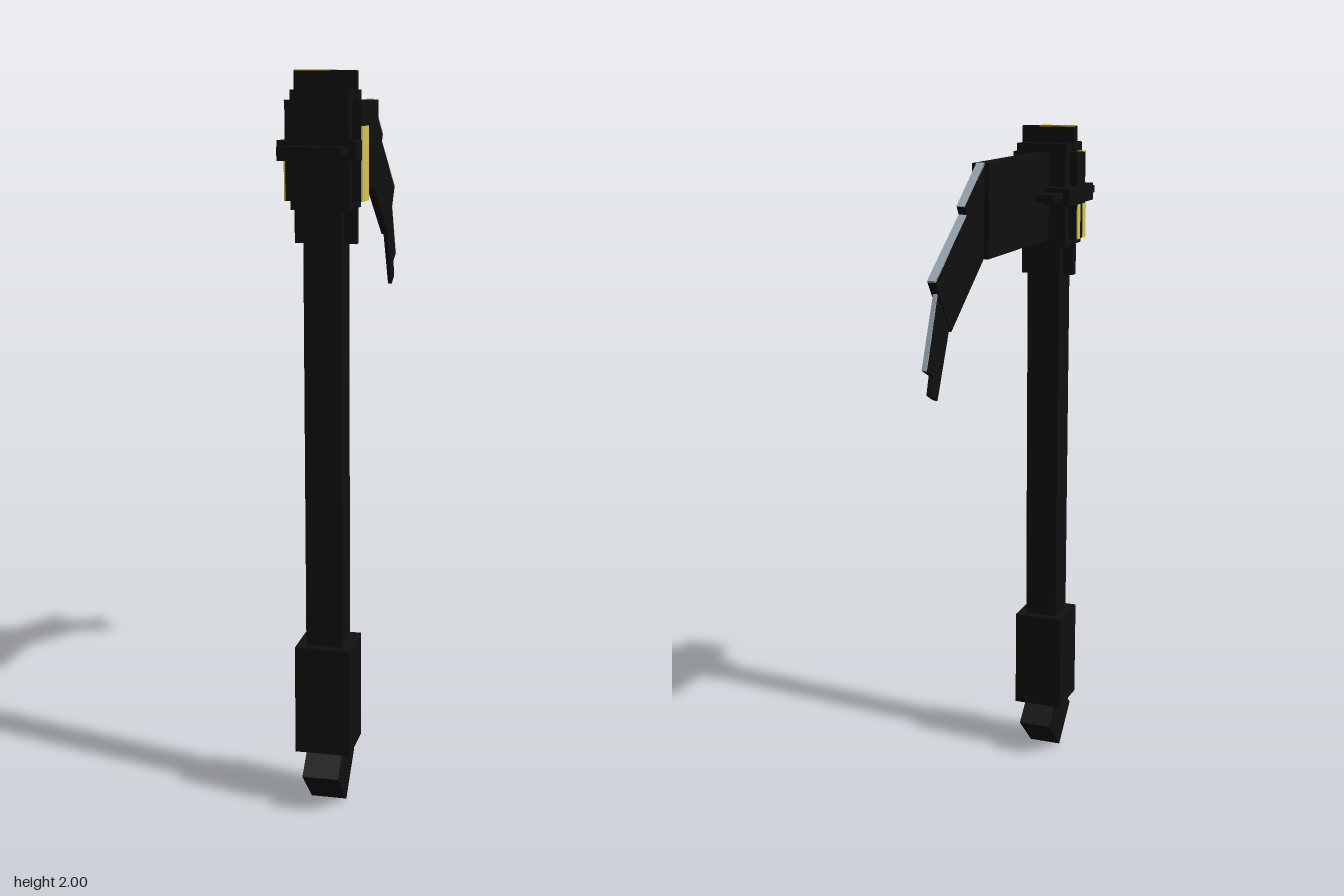
import * as THREE from 'three';

const mat = (name, color) => {
  const m = new THREE.MeshStandardMaterial({ color });
  m.name = name;
  return m;
};

export function createModel() {
  const black = mat('black', 0x101010);
  const steel = mat('steel', 0x9aa8b2);
  const gold = mat('gold', 0xcc9c0c);
  const paleGold = mat('pale gold', 0xd8c552);

  const model = new THREE.Group();
  model.name = 'sickle';
  const Z = 0.38; // axis of the handle

  const add = (name, geo, material) => {
    const mesh = new THREE.Mesh(geo, material);
    mesh.name = name;
    model.add(mesh);
    return mesh;
  };

  // Box given by its x, y and z ranges
  const box = (name, [x0, x1], [y0, y1], [z0, z1], material = black) => {
    const mesh = add(name, new THREE.BoxGeometry(x1 - x0, y1 - y0, z1 - z0), material);
    mesh.position.set((x0 + x1) / 2, (y0 + y1) / 2, (z0 + z1) / 2);
    return mesh;
  };

  // Side profile of [z, y] points, extruded symmetrically across x
  const slab = (name, points, half) => {
    const shape = new THREE.Shape(points.map(([z, y]) => new THREE.Vector2(z, y)));
    const geo = new THREE.ExtrudeGeometry(shape, { depth: half * 2, bevelEnabled: false });
    geo.translate(0, 0, -half).rotateY(-Math.PI / 2);
    return add(name, geo, black);
  };

  // Thin steel strip along a profile edge
  const edge = (name, [z0, y0], [z1, y1], half) => {
    const geo = new THREE.BoxGeometry(half * 2, 0.006, Math.hypot(z1 - z0, y1 - y0));
    const mesh = add(name, geo, steel);
    mesh.position.set(0, (y0 + y1) / 2, (z0 + z1) / 2);
    mesh.rotation.x = -Math.atan2(y1 - y0, z1 - z0);
  };

  // Handle and pommel
  box('handle', [-0.05, 0.05], [0.12, 1.7], [Z - 0.05, Z + 0.05]);
  box('grip', [-0.076, 0.076], [0.165, 0.468], [Z - 0.076, Z + 0.076]);
  box('pommel', [-0.05, 0.05], [0.031, 0.181], [Z - 0.075, Z + 0.075]).rotation.x = Math.PI / 4;

  // Head with crossing plates
  box('headBlock', [-0.076, 0.076], [1.65, 1.95], [Z - 0.076, Z + 0.076]);
  box('uprightPlate', [-0.082, 0.082], [1.56, 1.998], [Z - 0.013, Z + 0.013]);
  box('crossPlate', [-0.082, 0.082], [1.79, 1.812], [Z - 0.193, Z + 0.19]);
  box('crossBar', [-0.102, 0.102], [1.775, 1.826], [Z - 0.114, Z + 0.113]);
  box('yoke', [-0.1, 0.1], [1.67, 1.924], [Z - 0.039, Z + 0.039]);

  // Gold inlays
  box('topInlay', [-0.082, 0.027], [1.996, 2], [Z - 0.014, Z + 0.01], gold);
  box('yokeTopInlay', [-0.102, -0.08], [1.922, 1.926], [Z + 0.013, Z + 0.037], gold);
  for (const z of [Z - 0.026, Z + 0.026]) {
    box('rightInlay', [-0.103, -0.098], [1.67, 1.772], [z - 0.013, z + 0.013], paleGold);
  }
  box('leftInlay', [0.099, 0.104], [1.67, 1.86], [Z - 0.039, Z + 0.039], paleGold);

  // Blade in three sections, thinner toward the tip
  const mid = [[-0.178, 1.924], [-0.32, 1.822], [-0.306, 1.799], [-0.516, 1.655], [-0.416, 1.513], [-0.187, 1.672]];
  const tip = [[-0.488, 1.625], [-0.568, 1.438], [-0.527, 1.418], [-0.543, 1.37], [-0.5, 1.348], [-0.416, 1.525]];
  slab('bladeBase', [[0.32, 1.924], [-0.178, 1.924], [-0.187, 1.672], [0.32, 1.672]], 0.025);
  slab('bladeMiddle', mid, 0.011);
  slab('bladeTip', tip, 0.006);
  edge('middleEdgeUpper', mid[0], mid[1], 0.011);
  edge('middleEdgeLower', mid[2], mid[3], 0.011);
  edge('tipEdge', tip[0], tip[1], 0.006);

  return model;
}
